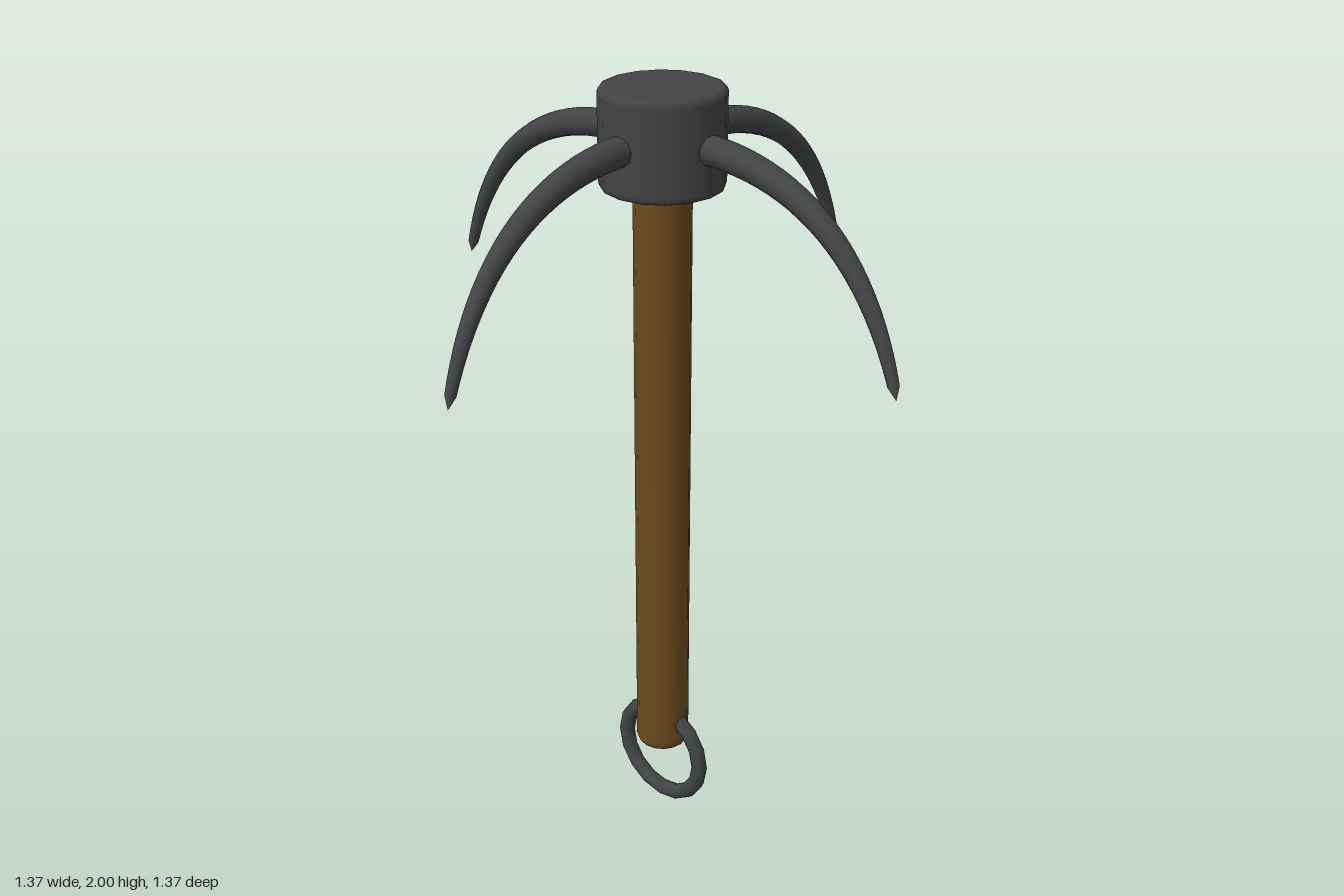
import * as THREE from 'three';

const iron = new THREE.MeshStandardMaterial({ color: 0x424345 });
const wood = new THREE.MeshStandardMaterial({ color: 0x6b4a1e });

// Upright cylinder with softly bevelled rims
function bevelledCylinder(radius, y0, y1, bevel, sides) {
  const b = bevel * 0.3;
  const profile = [
    [0, y0], [radius - bevel * 1.5, y0], [radius - bevel, y0], [radius - b, y0 + b], [radius, y0 + bevel],
    [radius, y0 + bevel * 1.5], [radius, y1 - bevel * 1.5],
    [radius, y1 - bevel], [radius - b, y1 - b], [radius - bevel, y1], [radius - bevel * 1.5, y1], [0, y1],
  ].map(([x, y]) => new THREE.Vector2(x, y));
  return new THREE.LatheGeometry(profile, sides);
}

// Curved prong: a tube that tapers along its length and closes at the tip
function prongGeometry() {
  const curve = new THREE.QuadraticBezierCurve3(
    new THREE.Vector3(0.1, 1.88, 0),
    new THREE.Vector3(0.55, 1.89, 0),
    new THREE.Vector3(0.682, 1.435, 0),
  );
  const steps = 24, sides = 12, radius = 0.036;
  const geometry = new THREE.TubeGeometry(curve, steps, radius, sides, false);
  const pos = geometry.attributes.position;
  const p = new THREE.Vector3();
  for (let i = 0; i <= steps; i++) {
    const u = i / steps;
    const centre = curve.getPointAt(u);
    const scale = i === steps ? 0 : 1 - 0.66 * Math.pow(u, 1.4);
    for (let j = 0; j <= sides; j++) {
      const k = i * (sides + 1) + j;
      p.fromBufferAttribute(pos, k).sub(centre).multiplyScalar(scale).add(centre);
      pos.setXYZ(k, p.x, p.y, p.z);
    }
  }
  geometry.computeBoundingSphere();
  return geometry;
}

export function createModel() {
  const group = new THREE.Group();
  const add = (name, geometry, material) => {
    const mesh = new THREE.Mesh(geometry, material);
    mesh.name = name;
    group.add(mesh);
    return mesh;
  };

  // Wooden shaft and iron head
  add('shaft', bevelledCylinder(0.07, 0.195, 1.8, 0.016, 16), wood);
  add('head', bevelledCylinder(0.149, 1.765, 2, 0.012, 16), iron);

  // Four prongs around the head
  const prong = prongGeometry();
  for (let i = 0; i < 4; i++) {
    add('prong' + (i + 1), prong, iron).rotation.y = (i * Math.PI) / 2;
  }

  // Rope ring through the foot of the shaft
  add('ring', new THREE.TorusGeometry(0.134, 0.021, 10, 16), iron).position.y = 0.155;

  return group;
}
